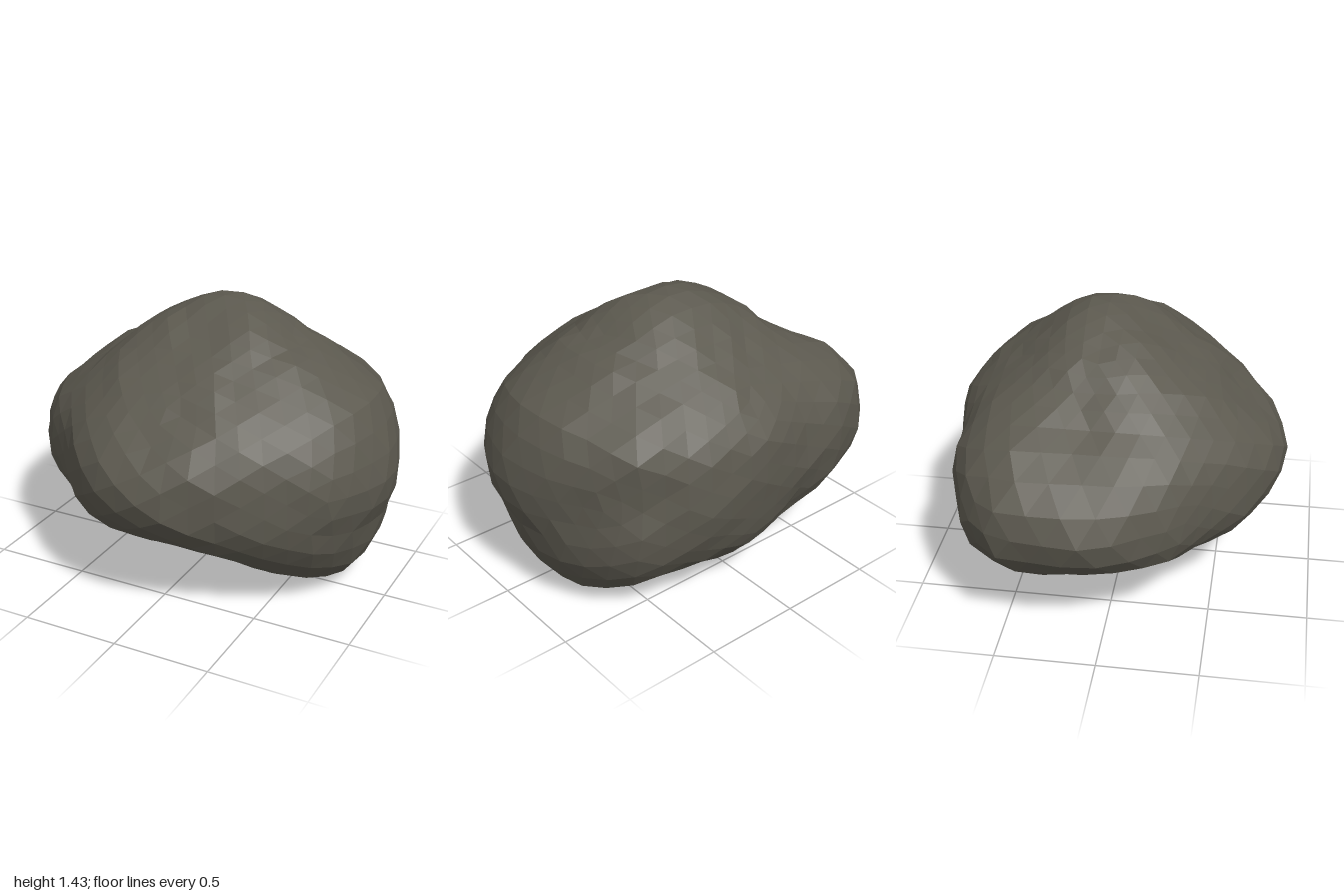
import * as THREE from 'three';

// Core point that all outlines are measured from
const CORE = new THREE.Vector3(0.04, 0.67, -0.08);

// Rock outlines as coordinate pairs: facing (x, y), sideways (z, y), from above (x, z)
const FACING = [-1.01, 0.67, -0.93, 0.79, -0.78, 0.94, -0.55, 1.08, -0.35, 1.27, -0.06, 1.41, 0.08, 1.43, 0.23, 1.4,
  0.43, 1.26, 0.55, 1.23, 0.7, 1.13, 0.87, 1.01, 0.99, 0.75, 1.01, 0.66, 0.94, 0.42, 0.9, 0.21, 0.77, 0.06, 0.5, 0.0,
  0.35, 0.0, 0, 0.08, -0.22, 0.13, -0.33, 0.2, -0.47, 0.23, -0.65, 0.27, -0.93, 0.48, -0.99, 0.58];
const SIDEWAYS = [0.85, 0.66, 0.82, 0.78, 0.55, 1, 0.46, 1.1, 0.22, 1.25, 0.02, 1.38, -0.1, 1.43, -0.22, 1.41,
  -0.5, 1.2, -0.65, 1.1, -0.81, 0.94, -0.84, 0.85, -0.83, 0.65, -0.8, 0.4, -0.75, 0.28, -0.62, 0.14, -0.42, 0.08,
  -0.2, 0.02, -0.1, 0.01, 0.02, 0.04, 0.2, 0.13, 0.3, 0.15, 0.4, 0.22, 0.62, 0.38, 0.83, 0.57];
const ABOVE = [-1.01, -0.1, -0.96, -0.49, -0.78, -0.68, -0.55, -0.78, -0.28, -0.8, -0.15, -0.83, 0.07, -0.84, 0.33, -0.83,
  0.44, -0.8, 0.5, -0.74, 0.65, -0.7, 0.8, -0.52, 0.92, -0.35, 0.99, -0.1, 1.01, 0, 0.95, 0.2, 0.83, 0.4, 0.75, 0.46,
  0.43, 0.66, 0.22, 0.78, 0.08, 0.84, -0.08, 0.83, -0.22, 0.79, -0.4, 0.68, -0.6, 0.48, -0.78, 0.34, -0.95, 0.06];

// Distance from (ca, cb) to an outline along direction (da, db)
function reach(outline, ca, cb, da, db) {
  const len = Math.hypot(da, db);
  if (len < 1e-6) return 0.8;
  const u = da / len, v = db / len, n = outline.length;
  let best = 0;
  for (let i = 0; i < n; i += 2) {
    const j = (i + 2) % n;
    const ax = outline[i] - ca, ay = outline[i + 1] - cb;
    const ex = outline[j] - ca - ax, ey = outline[j + 1] - cb - ay;
    const det = ex * v - ey * u;
    if (Math.abs(det) < 1e-9) continue;
    const s = (ay * u - ax * v) / det;
    const t = (ex * ay - ey * ax) / det;
    if (s >= -1e-6 && s <= 1 + 1e-6 && t > best) best = t;
  }
  return best;
}

// Hollows (positive depth) and bulges (negative): direction, depth, tightness
const DENTS = [
  [[0.61, 0.05, -0.62], 0.045, 90],   // notch at the back corner
  [[0.62, 0.25, -0.55], -0.025, 40],  // lip above the notch
  [[0.62, -0.25, -0.5], -0.04, 30],   // swell below the notch
  [[0.62, -0.52, -0.38], -0.025, 30], // low back corner
  [[0.86, -0.05, -0.32], 0.03, 60],   // side hollow
  [[0.5, 0.45, -0.3], 0.02, 30],      // upper side slope
  [[0.55, 0.38, 0.42], 0.03, 20],     // upper front slope
  [[-0.65, 0.4, -0.1], 0.02, 40],     // shoulder crease
  [[-0.5, 0.6, -0.35], 0.035, 25],    // behind the shoulder
  [[-0.75, 0.25, 0.3], 0.03, 30],     // in front of the shoulder
  [[-0.45, -0.6, 0.3], 0.06, 12],     // undercut, lower front
  [[-0.72, -0.36, 0.22], 0.035, 30],  // undercut towards the side
  [[-0.25, -0.65, 0.25], 0.02, 25],   // undercut towards the base
  [[0.15, -0.5, 0.45], 0.03, 20],     // under the front ridge
  [[0.45, -0.2, 0.55], -0.025, 30],   // front ridge
].map(([dir, depth, tight]) => ({ dir: new THREE.Vector3(...dir).normalize(), depth, tight }));

// Blend the three outlines, each counting most where it forms the edge
function radius(d) {
  const views = [
    [reach(FACING, CORE.x, CORE.y, d.x, d.y), d.z],
    [reach(SIDEWAYS, CORE.z, CORE.y, d.z, d.y), d.x],
    [reach(ABOVE, CORE.x, CORE.z, d.x, d.z), d.y],
  ];
  let sum = 0, total = 0;
  for (const [r, along] of views) {
    const w = 1 / (along * along + 0.01);
    sum += r * w;
    total += w;
  }
  let r = sum / total;
  // Gentle lumps
  r += 0.006 * Math.sin(9 * d.x + 4 * d.y + 1) * Math.sin(8 * d.y - 5 * d.z + 2);
  r += 0.006 * Math.sin(17 * d.x - 9 * d.z) * Math.sin(15 * d.y + 11 * d.z + 0.7);
  for (const { dir, depth, tight } of DENTS) r -= depth * Math.exp(tight * (d.dot(dir) - 1));
  return r;
}

export function createModel() {
  const stone = new THREE.MeshStandardMaterial({ color: 0x5c594f, flatShading: true });
  stone.name = 'dark stone';

  // Faceted ball pushed out to the rock surface
  const geometry = new THREE.IcosahedronGeometry(1, 7);
  const pos = geometry.attributes.position;
  const d = new THREE.Vector3();
  for (let i = 0; i < pos.count; i++) {
    d.fromBufferAttribute(pos, i).normalize();
    d.multiplyScalar(radius(d)).add(CORE);
    pos.setXYZ(i, d.x, d.y, d.z);
  }
  geometry.computeVertexNormals();

  const rock = new THREE.Mesh(geometry, stone);
  rock.name = 'rock';
  const group = new THREE.Group();
  group.name = 'boulder';
  group.add(rock);
  return group;
}
